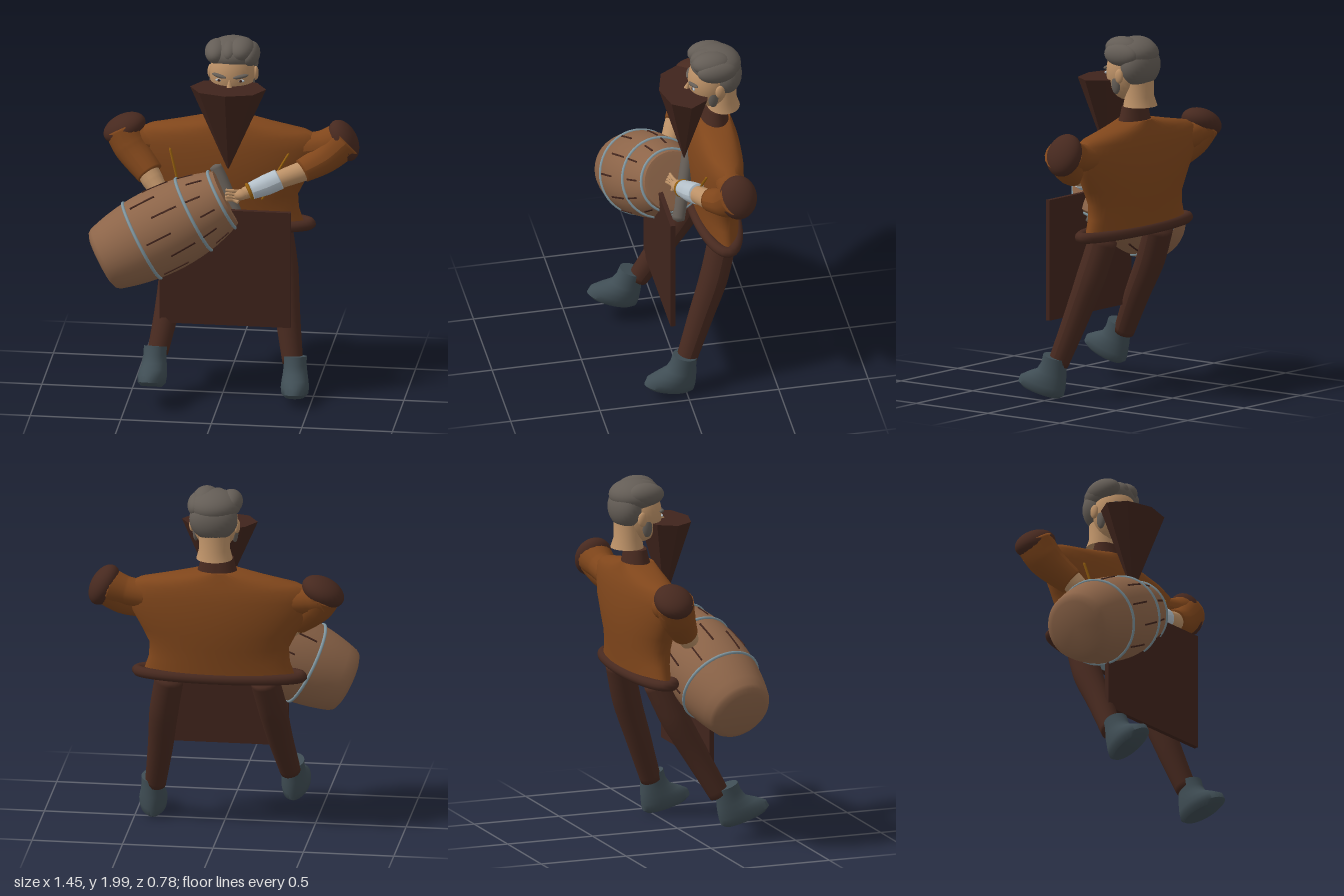
import * as THREE from 'three';
import { toCreasedNormals } from 'three/addons/utils/BufferGeometryUtils.js';

const V = (x, y, z) => new THREE.Vector3(x, y, z);
const UP = V(0, 1, 0);

function mat(name, color) {
  const m = new THREE.MeshStandardMaterial({ color });
  m.name = name;
  return m;
}

// Stacked elliptical rings [y, cx, cz, rx, rz], bottom to top, closed at both ends
function loft(rings, sides = 32) {
  const first = rings[0], last = rings[rings.length - 1];
  const all = [[first[0], first[1], first[2], 0, 0], ...rings, [last[0], last[1], last[2], 0, 0]];
  const pos = [], idx = [];
  all.forEach(([y, cx, cz, rx, rz], i) => {
    for (let j = 0; j < sides; j++) {
      const a = (j / sides) * Math.PI * 2;
      pos.push(cx + rx * Math.cos(a), y, cz + rz * Math.sin(a));
      if (i === all.length - 1) continue;
      const k = (j + 1) % sides, p = i * sides, q = p + sides;
      idx.push(p + j, q + j, p + k, p + k, q + j, q + k);
    }
  });
  const g = new THREE.BufferGeometry();
  g.setAttribute('position', new THREE.Float32BufferAttribute(pos, 3));
  g.setIndex(idx);
  return toCreasedNormals(g, 0.8);
}

// Tube through points with a radius at each point and closed ends
function limb(points, radii, sides = 18) {
  const n = 28, curve = new THREE.CatmullRomCurve3(points.map((p) => V(...p)));
  const g = new THREE.TubeGeometry(curve, n, 1, sides);
  const p = g.attributes.position, v = V(0, 0, 0);
  for (let i = 0; i <= n; i++) {
    const c = curve.getPointAt(i / n);
    const t = curve.getUtoTmapping(i / n) * (radii.length - 1);
    const k = Math.min(Math.floor(t), radii.length - 2);
    const r = i === 0 || i === n ? 0 : THREE.MathUtils.lerp(radii[k], radii[k + 1], t - k);
    for (let j = 0; j <= sides; j++) {
      const q = i * (sides + 1) + j;
      v.fromBufferAttribute(p, q).sub(c).multiplyScalar(r).add(c);
      p.setXYZ(q, v.x, v.y, v.z);
    }
  }
  g.computeVertexNormals();
  return g;
}

export function createModel() {
  const root = new THREE.Group();
  const tunic = mat('rust tunic', 0x80461b), brown = mat('dark brown leather', 0x47291f);
  const wood = mat('barrel wood', 0x8d6549), steel = mat('steel hoop', 0x7f959e);
  const skin = mat('skin', 0xbc9167), hair = mat('grey hair', 0x645d56);
  const slate = mat('slate boot', 0x3f4d54), linen = mat('pale linen', 0xb4c0c9);
  const gold = mat('gold trim', 0x96600f), dark = mat('dark seam', 0x40241c);

  function add(name, geo, material, parent = root) {
    const m = new THREE.Mesh(geo, material);
    m.name = name;
    parent.add(m);
    return m;
  }
  function ball(name, material, c, r, axis) {
    const m = add(name, new THREE.SphereGeometry(1, 28, 18), material);
    m.position.set(...c);
    m.scale.set(...r);
    if (axis) m.quaternion.setFromUnitVectors(UP, V(...axis).normalize());
    return m;
  }

  // Tunic body, hem and collar
  const cz = -0.238;
  add('tunic', loft([
    [0.93, 0, cz, 0.42, 0.11], [1.02, 0, cz, 0.39, 0.117], [1.1, 0, cz, 0.385, 0.127],
    [1.18, 0, cz, 0.425, 0.135], [1.28, 0, cz, 0.48, 0.139], [1.38, 0, cz, 0.51, 0.132],
    [1.44, 0, cz, 0.5, 0.122], [1.47, 0, cz, 0.44, 0.112], [1.5, 0, cz, 0.28, 0.103], [1.535, 0, cz, 0.11, 0.09],
  ], 48), tunic);
  const hem = [];
  for (let i = 0; i < 40; i++) {
    const a = (i / 40) * Math.PI * 2;
    hem.push(V(0.455 * Math.cos(a), 0.93, -0.23 + 0.108 * Math.sin(a)));
  }
  add('hem', new THREE.TubeGeometry(new THREE.CatmullRomCurve3(hem, true), 80, 0.03, 12, true), brown);
  add('hemUnderside', loft([[0.908, 0, -0.23, 0.45, 0.108], [0.925, 0, -0.23, 0.45, 0.108]], 40), steel);
  add('collar', loft([[1.5, 0.01, -0.24, 0.12, 0.085], [1.56, 0.01, -0.245, 0.1, 0.068], [1.61, 0.01, -0.245, 0.09, 0.058]]), brown);

  // Shoulder caps, sleeves and arms
  ball('rightShoulderCap', brown, [-0.575, 1.435, -0.248], [0.124, 0.074, 0.108], [-0.45, 0.89, 0]);
  ball('leftShoulderCap', brown, [0.635, 1.418, -0.245], [0.122, 0.074, 0.104], [0.89, 0.46, 0]);
  add('rightUpperSleeve', limb([[-0.4, 1.37, -0.24], [-0.5, 1.385, -0.243], [-0.58, 1.41, -0.248]], [0.075, 0.08, 0.1]), tunic);
  add('rightSleeve', limb([[-0.585, 1.44, -0.248], [-0.53, 1.34, -0.21], [-0.41, 1.21, -0.12]], [0.106, 0.1, 0.074]), tunic);
  add('rightForearm', limb([[-0.45, 1.26, -0.14], [-0.4, 1.19, -0.1], [-0.34, 1.12, -0.05]], [0.065, 0.06, 0.045]), skin);
  ball('rightHand', skin, [-0.32, 1.1, -0.07], [0.05, 0.06, 0.04]);
  add('leftUpperSleeve', limb([[0.4, 1.37, -0.24], [0.52, 1.39, -0.24], [0.62, 1.42, -0.245]], [0.075, 0.08, 0.1]), tunic);
  add('leftSleeve', limb([[0.65, 1.43, -0.245], [0.54, 1.33, -0.2], [0.41, 1.265, -0.13]], [0.105, 0.085, 0.064]), tunic);
  add('leftForearm', limb([[0.46, 1.28, -0.15], [0.3, 1.23, -0.09], [0.1, 1.16, -0.02]], [0.058, 0.05, 0.032]), skin);
  add('leftBracer', limb([[0.305, 1.235, -0.093], [0.23, 1.205, -0.066], [0.145, 1.175, -0.035]], [0.058, 0.058, 0.047]), linen);
  const band = add('bracerTrim', new THREE.TorusGeometry(0.041, 0.01, 8, 24), gold);
  band.position.set(0.143, 1.174, -0.034);
  band.quaternion.setFromUnitVectors(V(0, 0, 1), V(0.9, 0.36, -0.3).normalize());
  ball('leftPalm', skin, [0.095, 1.16, -0.015], [0.042, 0.03, 0.034]);
  for (let i = 0; i < 4; i++) {
    const y = 1.185 - i * 0.017;
    add('leftFinger', limb([[0.09, y - 0.01, -0.02 + i * 0.01], [0.055, y, 0], [0.015, y + 0.008, 0.01 + i * 0.008]], [0.011, 0.011, 0.008], 8), skin);
  }

  // Cords on the chest
  add('rightCord', limb([[-0.31, 1.375, -0.13], [-0.285, 1.28, -0.112], [-0.26, 1.18, -0.1]], [0.007, 0.007, 0.007], 8), gold);
  add('leftCord', limb([[0.35, 1.375, -0.13], [0.29, 1.27, -0.107], [0.2, 1.1, -0.1]], [0.007, 0.007, 0.007], 8), gold);

  // Legs and boots
  add('leftLeg', limb([[0.27, 0.93, -0.24], [0.315, 0.68, -0.175], [0.345, 0.45, -0.095], [0.39, 0.17, 0.005]], [0.08, 0.08, 0.07, 0.056]), brown);
  add('rightLeg', limb([[-0.24, 0.93, -0.225], [-0.28, 0.7, -0.125], [-0.305, 0.5, -0.015], [-0.35, 0.24, 0.125]], [0.08, 0.08, 0.07, 0.056]), brown);
  const bootRings = [
    [0, 0, 0.1, 0.055, 0.12], [0.02, 0, 0.103, 0.074, 0.145], [0.055, 0, 0.1, 0.078, 0.142],
    [0.09, 0, 0.08, 0.074, 0.117], [0.125, 0, 0.058, 0.068, 0.088], [0.17, 0, 0.055, 0.063, 0.073], [0.22, 0, 0.058, 0.063, 0.068],
  ];
  for (const [name, p, tilt, yaw] of [['leftBoot', [0.4, 0.012, 0], -0.24, 0.1], ['rightBoot', [-0.355, 0.088, 0.165], -0.34, -0.06]]) {
    const b = add(name, loft(bootRings), slate);
    b.position.set(...p);
    b.rotation.set(tilt, yaw, 0, 'YXZ');
  }

  // Apron board
  add('apron', new THREE.BoxGeometry(0.725, 0.67, 0.026), dark).position.set(0.022, 0.765, 0.068);

  // Barrel with hoops and plank seams, built along its own y axis
  const barrel = new THREE.Group();
  barrel.name = 'barrel';
  barrel.position.set(-0.315, 0.967, 0.058);
  barrel.quaternion.setFromUnitVectors(UP, V(0.873, 0.457, -0.17).normalize());
  root.add(barrel);
  const belly = (t) => 0.236 - 0.45 * (t + 0.02) ** 2;
  const profile = [[0, -0.395], [0.14, -0.392], [0.17, -0.38]].map(([r, t]) => new THREE.Vector2(r, t));
  for (let i = 0; i <= 14; i++) {
    const t = -0.36 + i * 0.053;
    profile.push(new THREE.Vector2(belly(t), t));
  }
  profile.push(new THREE.Vector2(0.14, 0.385), new THREE.Vector2(0, 0.375));
  add('barrelBody', toCreasedNormals(new THREE.LatheGeometry(profile, 36), 0.7), wood, barrel);
  for (const t of [-0.14, 0.18, 0.355]) {
    const hoop = add('hoop', new THREE.TorusGeometry(belly(t) + 0.001, 0.009, 8, 48), steel, barrel);
    hoop.rotation.x = Math.PI / 2;
    hoop.position.y = t;
  }
  for (let i = 0; i < 12; i++) {
    const a = (i / 12) * Math.PI * 2, s = i % 2;
    for (const [t, len] of [[s ? 0.06 : -0.03, 0.15], [s ? 0.23 : 0.27, 0.09]]) {
      const seam = add('plankSeam', new THREE.BoxGeometry(0.009, len, 0.009), dark, barrel);
      const r = belly(t) - 0.001;
      seam.position.set(r * Math.sin(a), t, r * Math.cos(a));
      seam.rotation.set(-Math.atan(0.9 * (t + 0.02)), a, 0, 'YXZ');
    }
  }
  add('barrelRod', limb([[-0.06, 1.3, -0.115], [0.03, 1.115, -0.065], [0.115, 0.93, -0.015]], [0.036, 0.036, 0.036]), hair);

  // Head and neck
  ball('head', skin, [0.025, 1.8, -0.21], [0.124, 0.16, 0.118]);
  add('neck', loft([[1.615, 0.02, -0.29, 0.1, 0.09], [1.67, 0.02, -0.285, 0.085, 0.077], [1.8, 0.02, -0.285, 0.085, 0.075]]), skin);
  const nose = add('nose', new THREE.ConeGeometry(0.022, 0.08, 10), skin);
  nose.position.set(0.025, 1.775, -0.09);
  nose.rotation.x = -0.3;
  for (const s of [-1, 1]) {
    const x = 0.025 + s * 0.06;
    ball('ear', skin, [0.025 + s * 0.125, 1.79, -0.245], [0.016, 0.04, 0.026]);
    ball('sideburn', hair, [0.025 + s * 0.108, 1.74, -0.21], [0.018, 0.055, 0.028]);
    ball('eye', linen, [x, 1.79, -0.109], [0.02, 0.008, 0.008]);
    ball('pupil', dark, [x, 1.79, -0.102], [0.008, 0.008, 0.004]);
    const brow = ball('brow', hair, [x, 1.815, -0.108], [0.044, 0.011, 0.014]);
    brow.rotation.set(0, s * 0.4, s * 0.12);
  }

  // Hair: crown, back and broad locks swept backwards
  ball('hairCrown', hair, [0.025, 1.905, -0.245], [0.143, 0.088, 0.14]);
  ball('hairBack', hair, [0.025, 1.84, -0.295], [0.134, 0.118, 0.094]);
  const locks = [[-0.06, 1.92, -0.215, 0.066], [0.015, 1.925, -0.215, 0.06], [0.075, 1.935, -0.215, 0.075], [0.12, 1.905, -0.235, 0.055]];
  for (const [x, y, z, r] of locks) ball('hairLock', hair, [x, y, z], [r, 0.064, 0.11]);

  // Pointed face scarf with flat sides
  const scarfGeo = new THREE.CylinderGeometry(0.21, 0.004, 0.47, 8, 1).toNonIndexed();
  scarfGeo.scale(1, 1, 0.67);
  scarfGeo.computeVertexNormals();
  add('faceScarf', scarfGeo, dark).position.set(0.02, 1.525, -0.07);

  return root;
}
